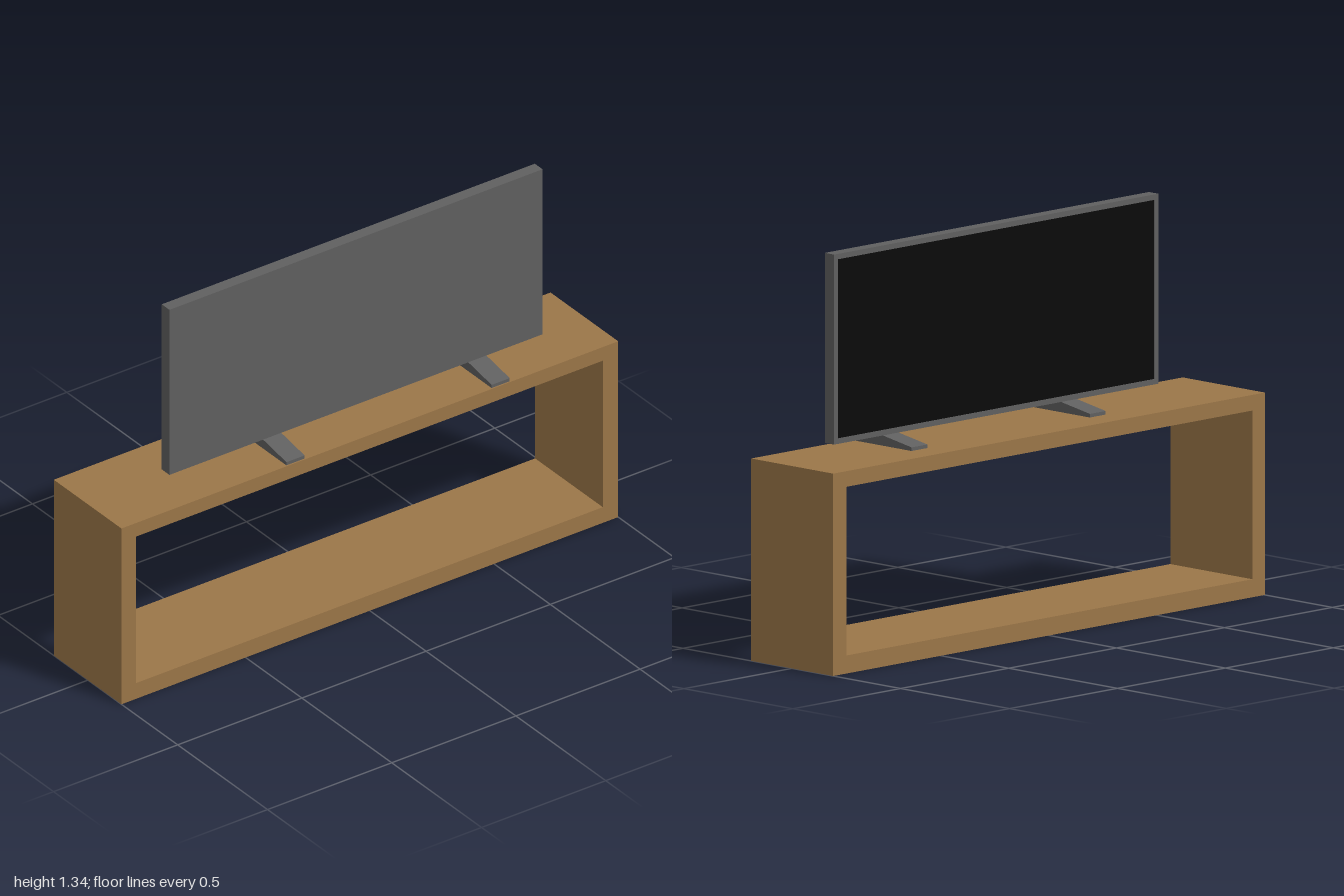
import * as THREE from 'three';

const material = (color) => new THREE.MeshStandardMaterial({ color });

// Rectangle path from its edges
function rect(PathType, x0, x1, y0, y1) {
  return new PathType([[x0, y0], [x1, y0], [x1, y1], [x0, y1]].map(([x, y]) => new THREE.Vector2(x, y)));
}

// Rectangular frame with a rectangular opening, spanning z0..z1
function frame(outer, inner, z0, z1) {
  const shape = rect(THREE.Shape, ...outer);
  shape.holes.push(rect(THREE.Path, ...inner));
  return new THREE.ExtrudeGeometry(shape, { depth: z1 - z0, bevelEnabled: false }).translate(0, 0, z0);
}

function box(x0, x1, y0, y1, z0, z1) {
  return new THREE.BoxGeometry(x1 - x0, y1 - y0, z1 - z0)
    .translate((x0 + x1) / 2, (y0 + y1) / 2, (z0 + z1) / 2);
}

export function createModel() {
  const model = new THREE.Group();
  const wood = material(0x9b7648);
  const grey = material(0x606060);
  const black = material(0x0a0a0a);

  const add = (parent, name, geometry, mat) => {
    const mesh = new THREE.Mesh(geometry, mat);
    mesh.name = name;
    parent.add(mesh);
  };

  // Open wooden stand
  add(model, 'stand', frame([-1, 1, 0, 0.672], [-0.942, 0.938, 0.06, 0.62], -0.19, 0.187), wood);

  const television = new THREE.Group();
  television.name = 'television';
  model.add(television);

  // Housing with a shallow rim around the screen, which faces the back
  const [x0, x1, y0, y1] = [-0.715, 0.787, 0.712, 1.343];
  const rim = 0.018;
  const opening = [x0 + rim, x1 - rim, y0 + rim, y1 - rim];
  add(television, 'housing', box(x0, x1, y0, y1, 0.021, 0.06), grey);
  add(television, 'bezel', frame([x0, x1, y0, y1], opening, 0.017, 0.021), grey);
  add(television, 'screen', box(...opening, 0.019, 0.022), black);

  // Feet: low wedge profile along z, extruded across x
  const profile = new THREE.Shape([
    [-0.19, 0.678], [0.115, 0.678], [0.115, 0.69], [-0.017, 0.712], [-0.06, 0.712], [-0.19, 0.69],
  ].map(([u, y]) => new THREE.Vector2(u, y)));
  for (const [name, x] of [['rightFoot', -0.338], ['leftFoot', 0.488]]) {
    const foot = new THREE.ExtrudeGeometry(profile, { depth: 0.073, bevelEnabled: false });
    add(television, name, foot.rotateY(Math.PI / 2).translate(x, 0, 0), grey);
  }

  return model;
}
